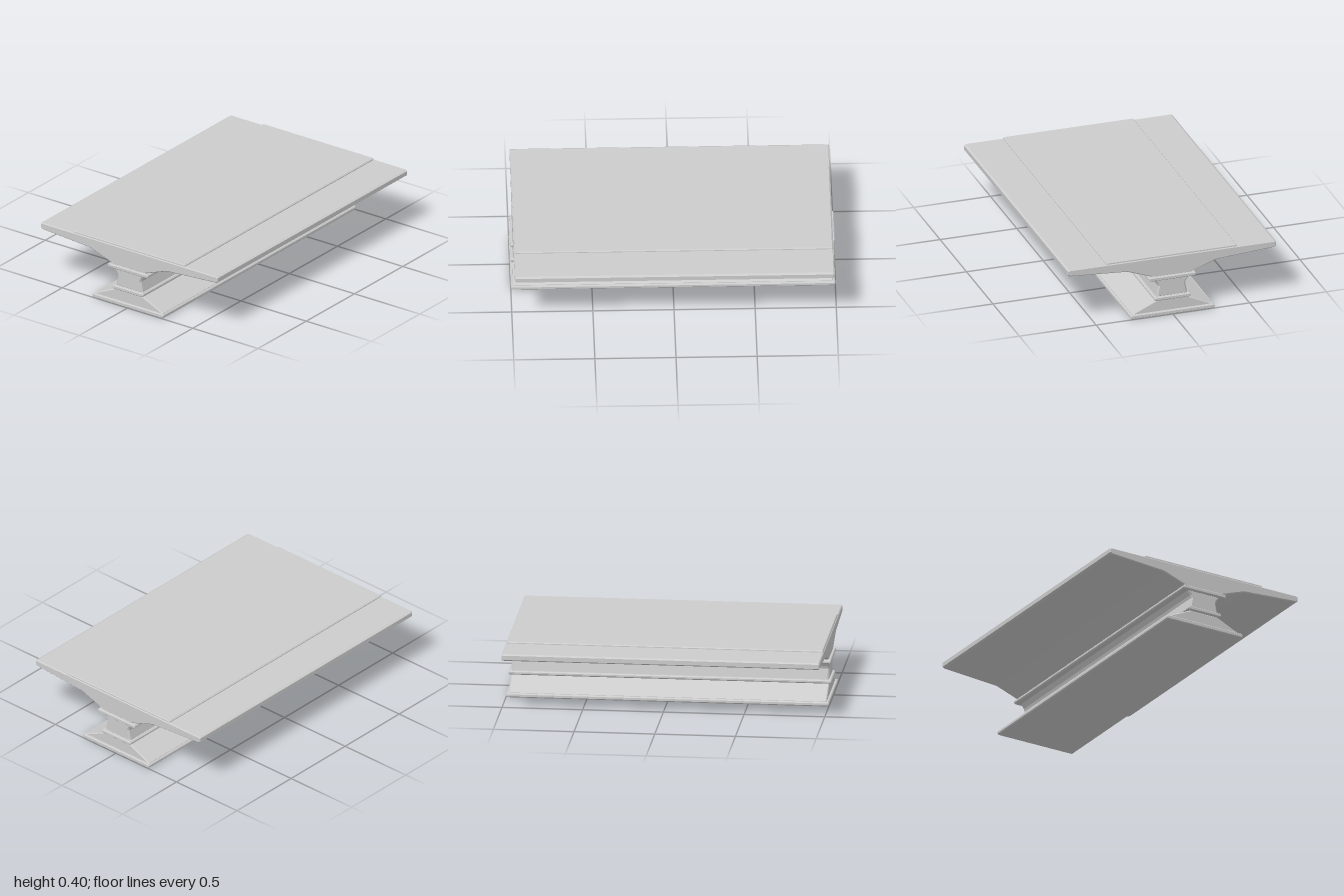
import * as THREE from 'three';

const material = new THREE.MeshStandardMaterial({ color: 0xcccccc, flatShading: true });

// Bar running along x with bevelled ends; half holds [z, y] points from bottom to top
function bar(name, half, halfLength, bevel) {
  const mirrored = half.slice().reverse().map(([z, y]) => [-z, y]);
  const shape = new THREE.Shape([...half, ...mirrored].map(([z, y]) => new THREE.Vector2(z, y)));
  const depth = 2 * (halfLength - bevel);
  const geometry = new THREE.ExtrudeGeometry(shape, {
    depth, bevelEnabled: bevel > 0, bevelThickness: bevel, bevelSize: bevel,
    bevelOffset: -bevel, bevelSegments: 1,
  });
  geometry.translate(0, 0, -depth / 2).rotateY(Math.PI / 2);
  const mesh = new THREE.Mesh(geometry, material);
  mesh.name = name;
  return mesh;
}

// Flat moulding with chamfered long edges
function moulding(name, halfWidth, y0, y1) {
  const c = 0.007;
  return bar(name, [
    [halfWidth - c, y0], [halfWidth, y0 + c], [halfWidth, y1 - c], [halfWidth - c, y1],
  ], 1, 0.005);
}

export function createModel() {
  const group = new THREE.Group();
  group.name = 'pedestalSlab';

  // Foot
  group.add(moulding('basePlinth', 0.273, 0, 0.027));
  group.add(bar('baseSlope', [[0.26, 0.022], [0.26, 0.029], [0.095, 0.104]], 0.985, 0.006));

  // Waist between two mouldings
  group.add(moulding('lowerMoulding', 0.118, 0.102, 0.126));
  group.add(bar('neck', [
    [0.103, 0.12], [0.1, 0.135], [0.088, 0.193], [0.095, 0.21], [0.117, 0.242],
  ], 0.985, 0.01));
  group.add(moulding('upperMoulding', 0.153, 0.238, 0.263));

  // Wide top slab with tapering underside
  group.add(bar('topSlab', [
    [0.115, 0.258], [0.29, 0.321], [0.665, 0.346], [0.68, 0.355], [0.68, 0.382], [0.667, 0.389],
  ], 0.985, 0.006));

  // Slightly raised centre panel
  group.add(bar('topPanel', [[0.425, 0.383], [0.425, 0.394], [0.419, 0.4]], 0.98, 0.004));
  return group;
}
